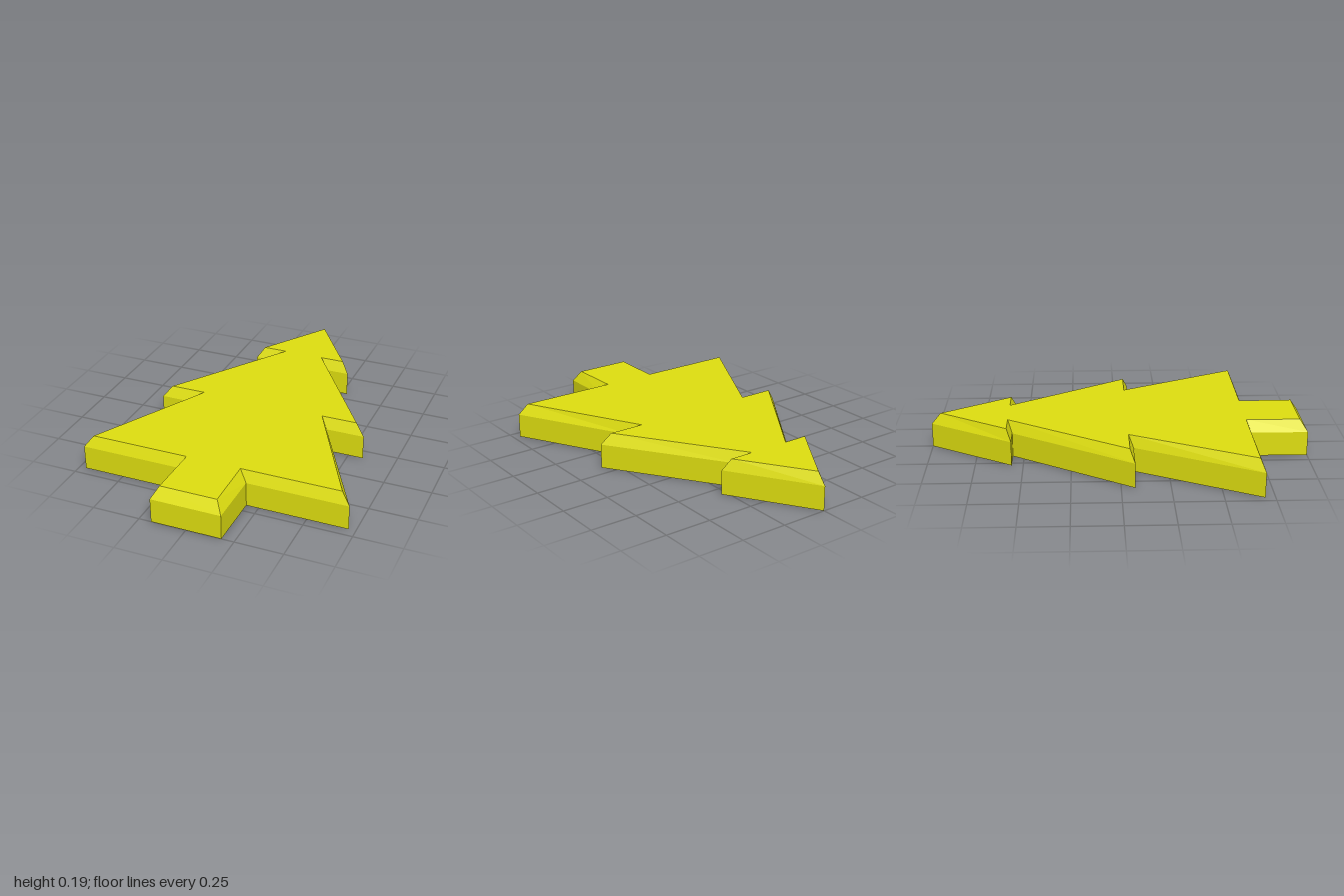
import * as THREE from 'three';

// Right half of the tree outline as [x, z], tip to trunk: wall edge and bevelled top edge
const OUTER = [[0, -1], [0.28, -0.56], [0.155, -0.56], [0.58, 0.07], [0.375, 0.07], [0.714, 0.7], [0.185, 0.7], [0.185, 1]];
const INNER = [[0, -0.95], [0.24, -0.585], [0.11, -0.585], [0.53, 0.045], [0.34, 0.045], [0.668, 0.675], [0.145, 0.675], [0.15, 0.96]];

// Mirror a half outline into a closed loop at height y
function loopAt(half, y) {
  const left = half.slice(1).reverse().map(([x, z]) => [-x, z]);
  return [...half, ...left].map(([x, z]) => new THREE.Vector3(x, y, z));
}

// Flat-shaded mesh from a list of triangle corners
function makeMesh(name, points, material) {
  const geometry = new THREE.BufferGeometry().setFromPoints(points);
  geometry.computeVertexNormals();
  const mesh = new THREE.Mesh(geometry, material);
  mesh.name = name;
  return mesh;
}

// Band of quads between two matching loops
function band(low, high) {
  return low.flatMap((a, i) => {
    const j = (i + 1) % low.length;
    return [a, high[i], high[j], a, high[j], low[j]];
  });
}

// Flat cap over a loop, facing up (1) or down (-1)
function cap(loop, facing) {
  const flat = loop.map((p) => new THREE.Vector2(p.x, p.z));
  return THREE.ShapeUtils.triangulateShape(flat, []).flatMap((face) => {
    const [a, b, c] = face.map((i) => loop[i]);
    const up = (b.z - a.z) * (c.x - a.x) - (b.x - a.x) * (c.z - a.z);
    return up * facing > 0 ? [a, b, c] : [a, c, b];
  });
}

export function createModel() {
  const yellow = new THREE.MeshStandardMaterial({ color: 0xe0e010 });
  yellow.name = 'yellow';

  const base = loopAt(OUTER, 0);
  const shoulder = loopAt(OUTER, 0.13);
  const top = loopAt(INNER, 0.19);

  const tree = new THREE.Group();
  tree.name = 'treePlaque';
  tree.add(
    makeMesh('sideWalls', band(base, shoulder), yellow),
    makeMesh('bevel', band(shoulder, top), yellow),
    makeMesh('topFace', cap(top, 1), yellow),
    makeMesh('bottomFace', cap(base, -1), yellow),
  );
  return tree;
}
